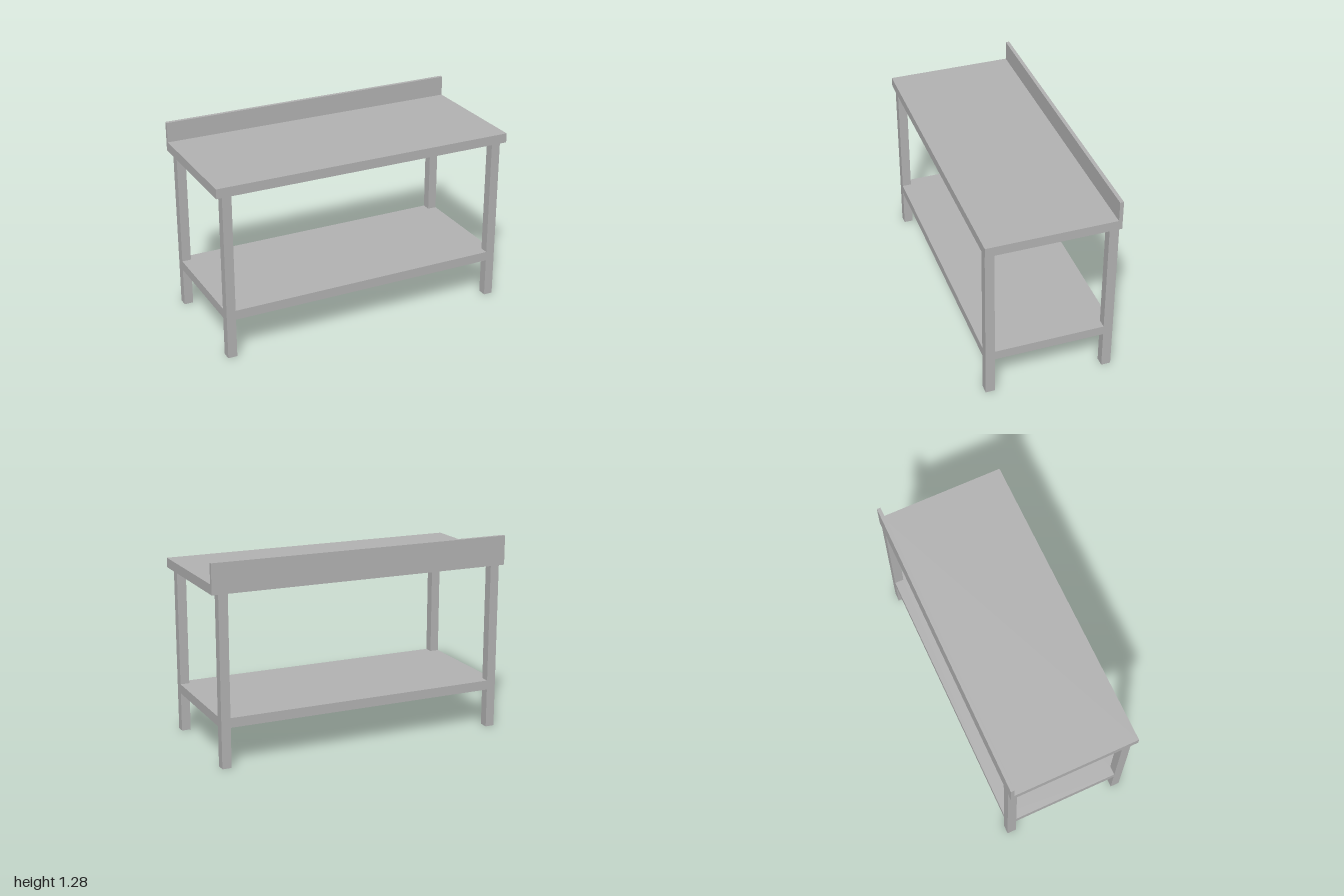
import * as THREE from 'three';

export function createModel() {
  const group = new THREE.Group();
  const steel = new THREE.MeshStandardMaterial({ color: 0xb2b2b2 });
  steel.name = 'brushed steel grey';

  function add(name, geometry) {
    const mesh = new THREE.Mesh(geometry, steel);
    mesh.name = name;
    group.add(mesh);
    return mesh;
  }

  // Box given by its minimum and maximum along each axis
  function box(name, [x0, x1], [y0, y1], [z0, z1]) {
    const mesh = add(name, new THREE.BoxGeometry(x1 - x0, y1 - y0, z1 - z0));
    mesh.position.set((x0 + x1) / 2, (y0 + y1) / 2, (z0 + z1) / 2);
  }

  const topBottom = 1.092, back = -0.422, splashFront = -0.398;

  // Worktop and the upstand along its back edge
  box('worktop', [-1, 1], [topBottom, 1.154], [splashFront, 0.422]);
  box('backsplash', [-1, 1], [topBottom, 1.284], [back, splashFront]);

  // Four square legs
  const legOut = 0.96, legIn = 0.9;
  const frontZ = [0.35, 0.41], backZ = [back, -0.361];
  for (const [side, x] of [['left', [legIn, legOut]], ['right', [-legOut, -legIn]]]) {
    box(side + 'FrontLeg', x, [0, topBottom], frontZ);
    box(side + 'BackLeg', x, [0, topBottom], backZ);
  }

  // Lower shelf, notched at the corners around the legs and flush with them
  const outline = [
    [-legIn, -frontZ[1]], [legIn, -frontZ[1]], [legIn, -frontZ[0]], [legOut, -frontZ[0]],
    [legOut, -backZ[1]], [legIn, -backZ[1]], [legIn, -backZ[0]], [-legIn, -backZ[0]],
    [-legIn, -backZ[1]], [-legOut, -backZ[1]], [-legOut, -frontZ[0]], [-legIn, -frontZ[0]],
  ].map(([x, y]) => new THREE.Vector2(x, y));
  const shelf = new THREE.ExtrudeGeometry(new THREE.Shape(outline), { depth: 0.062, bevelEnabled: false });
  shelf.rotateX(-Math.PI / 2);
  add('lowerShelf', shelf).position.y = 0.258;

  return group;
}
